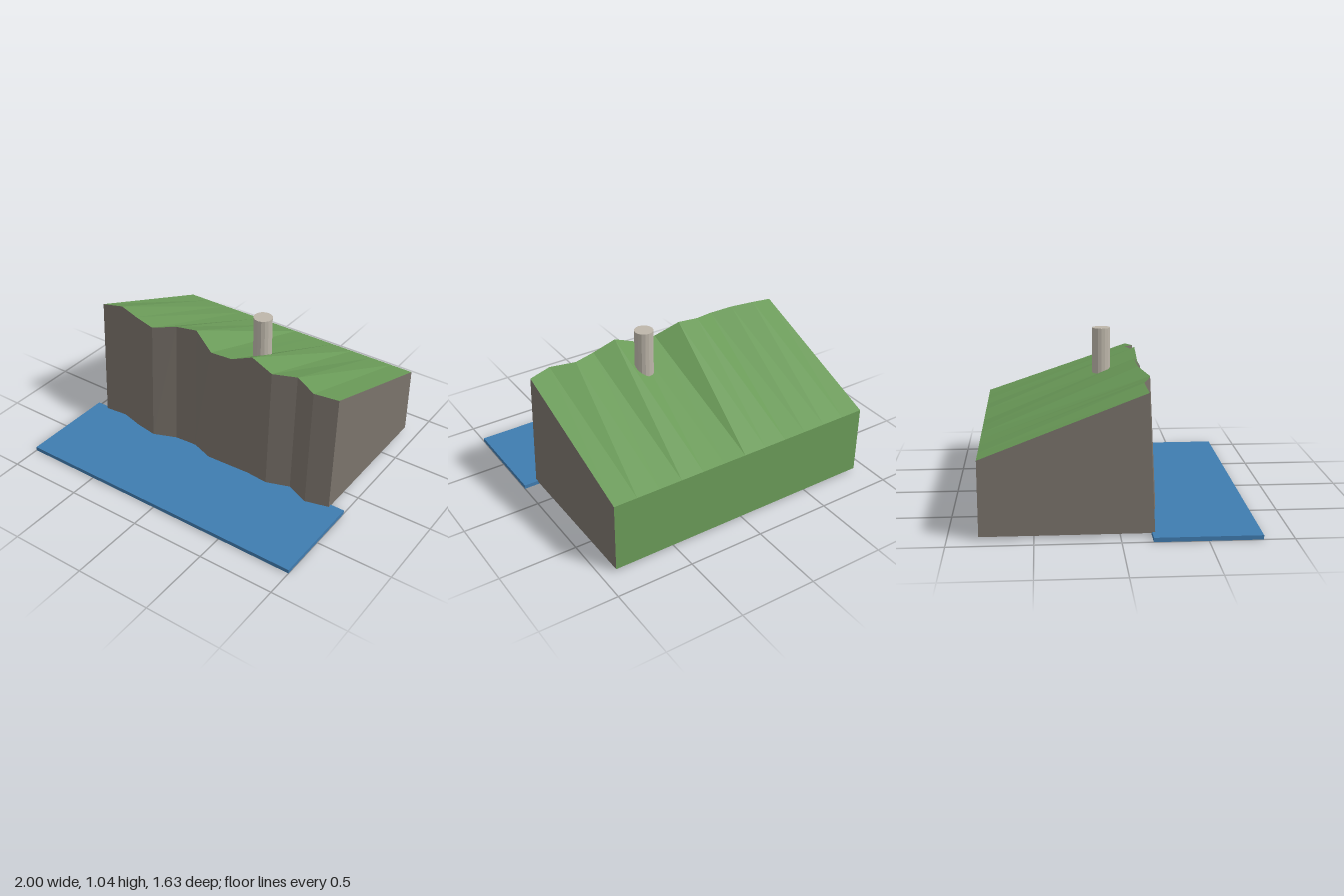
import * as THREE from 'three';

const mat = (name, color, side = THREE.FrontSide) => {
  const m = new THREE.MeshStandardMaterial({ color, side });
  m.name = name;
  return m;
};

// Cliff edge: height and depth of the rim at evenly spaced stations
const RIM_Y = [0.85, 0.875, 0.865, 0.85, 0.88, 0.9, 0.82, 0.825, 0.89, 0.835, 0.84, 0.82, 0.807];
const RIM_Z = [0.16, 0.145, 0.185, 0.21, 0.15, 0.14, 0.193, 0.188, 0.182, 0.195, 0.143, 0.208, 0.168];
const HALF = 0.906, BASE = 0.02, BACK_Z = -0.817, BACK_Y = 0.475, LEAN = 0.04;

// Faceted mesh from quads [a, b, c, d], split along a-c, counter-clockwise from outside
function quadMesh(name, quads, material) {
  const pos = quads.flatMap(([a, b, c, d]) => [a, b, c, a, c, d].flat());
  const geo = new THREE.BufferGeometry();
  geo.setAttribute('position', new THREE.Float32BufferAttribute(pos, 3));
  geo.computeVertexNormals();
  const mesh = new THREE.Mesh(geo, material);
  mesh.name = name;
  return mesh;
}

export function createModel() {
  const group = new THREE.Group();
  group.name = 'coastalCliff';

  const rock = mat('rock', 0x7a736b, THREE.DoubleSide);
  const grass = mat('grass', 0x6a9a58, THREE.DoubleSide);
  const water = mat('water', 0x3f7cb0);
  const stone = mat('paleStone', 0xbdb6aa);

  // Four outline points of the headland at each station
  const n = RIM_Y.length - 1;
  const st = RIM_Y.map((y, i) => {
    const x = -HALF + (2 * HALF * i) / n;
    return {
      foot: [x, BASE, RIM_Z[i] + LEAN],
      rim: [x, y, RIM_Z[i]],
      back: [x, BACK_Y, BACK_Z],
      heel: [x, BASE, BACK_Z],
    };
  });

  const face = [], slope = [], rear = [];
  for (let i = 0; i < n; i++) {
    const p = st[i], q = st[i + 1];
    face.push([p.foot, q.foot, q.rim, p.rim]);
    slope.push([p.rim, q.rim, q.back, p.back]);
    rear.push([p.back, q.back, q.heel, p.heel]);
  }
  const l = st[n], r = st[0];

  // Headland shell, open underneath
  group.add(
    quadMesh('cliffFace', face, rock),
    quadMesh('grassSlope', slope, grass),
    quadMesh('grassBack', rear, grass),
    quadMesh('leftSide', [[l.foot, l.heel, l.back, l.rim]], rock),
    quadMesh('rightSide', [[r.foot, r.rim, r.back, r.heel]], rock),
  );

  // Sea slab
  const sea = new THREE.Mesh(new THREE.BoxGeometry(2, 0.026, 0.635), water);
  sea.name = 'sea';
  sea.position.set(0, 0.013, 0.4995);
  group.add(sea);

  // Round tower on the slope
  const towerGeo = new THREE.CylinderGeometry(0.06, 0.06, 0.3, 16).toNonIndexed();
  towerGeo.computeVertexNormals();
  const tower = new THREE.Mesh(towerGeo, stone);
  tower.name = 'tower';
  tower.position.set(0.226, 0.888, -0.045);
  group.add(tower);

  return group;
}
